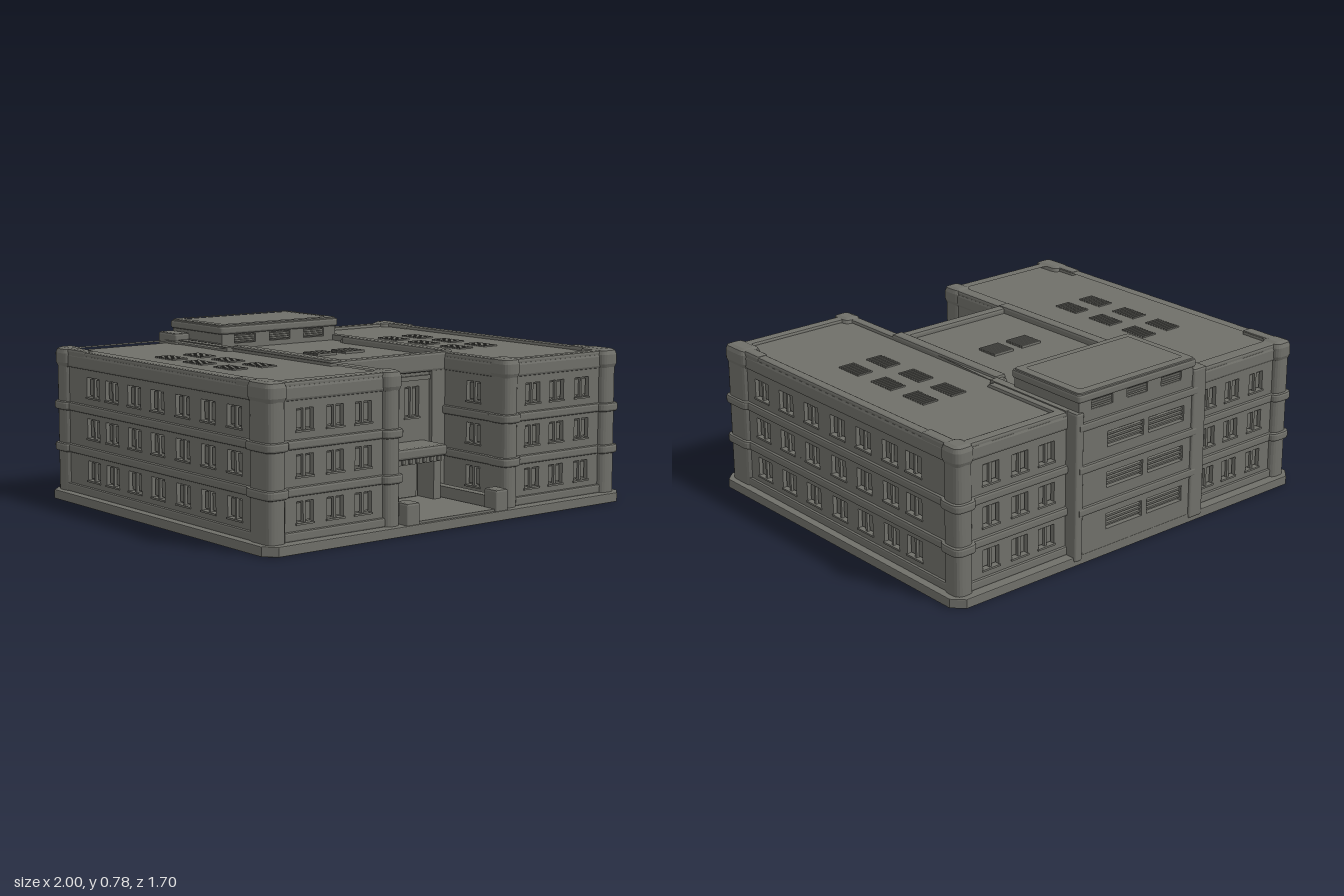
import * as THREE from 'three';

const stone = new THREE.MeshStandardMaterial({ color: 0x6f6f69 });
stone.name = 'grey stone';

const ROWS = [0.155, 0.345, 0.53];

function add(parent, name, geometry) {
  const mesh = new THREE.Mesh(geometry, stone);
  mesh.name = name;
  parent.add(mesh);
  return mesh;
}

// Box given by its limits
function block(parent, name, x0, x1, y0, y1, z0, z1) {
  const m = add(parent, name, new THREE.BoxGeometry(x1 - x0, y1 - y0, z1 - z0));
  m.position.set((x0 + x1) / 2, (y0 + y1) / 2, (z0 + z1) / 2);
  return m;
}

// Closed plan outline with softened corners; each point is [x, z, radius]
function outline(points, Type = THREE.Shape) {
  const path = new Type();
  const n = points.length;
  const toward = (a, b, r) => {
    const d = Math.hypot(b[0] - a[0], b[1] - a[1]);
    return [a[0] + (b[0] - a[0]) * r / d, -(a[1] + (b[1] - a[1]) * r / d)];
  };
  points.forEach((p, i) => {
    const r = p[2] || 0;
    const a = toward(p, points[(i + n - 1) % n], r);
    const b = toward(p, points[(i + 1) % n], r);
    if (i === 0) path.moveTo(...a); else path.lineTo(...a);
    if (r) path.quadraticCurveTo(p[0], -p[1], ...b);
  });
  path.closePath();
  return path;
}

const rect = (x0, x1, z0, z1, r = 0) => [[x0, z0, r], [x1, z0, r], [x1, z1, r], [x0, z1, r]];

// Plan outline raised from y0 to y1, with an optional bevel and opening
function slab(parent, name, points, y0, y1, bevel = 0, hole = null) {
  const shape = outline(points);
  if (hole) shape.holes.push(outline(hole, THREE.Path));
  const g = new THREE.ExtrudeGeometry(shape, {
    depth: y1 - y0 - 2 * bevel, bevelEnabled: bevel > 0, bevelSize: bevel,
    bevelThickness: bevel, bevelOffset: -bevel, bevelSegments: 2, curveSegments: 5,
  });
  g.rotateX(-Math.PI / 2);
  g.translate(0, y0 + bevel, 0);
  return add(parent, name, g);
}

// Wall panel facing local +z, pierced by openings { x, y, w, h, louver }
function wall(parent, name, u0, u1, y0, y1, openings, pos, turn) {
  const group = new THREE.Group();
  group.name = name;
  const depth = 0.025;
  const shape = new THREE.Shape([[u0, y0], [u1, y0], [u1, y1], [u0, y1]].map(p => new THREE.Vector2(...p)));
  for (const { x, y, w, h, louver } of openings) {
    const a = x - w / 2, b = x + w / 2, c = y - h / 2, d = y + h / 2;
    shape.holes.push(new THREE.Path([[a, c], [a, d], [b, d], [b, c]].map(p => new THREE.Vector2(...p))));
    if (louver) {
      for (let i = 1; i < 4; i++) block(group, 'louver', a, b, c + h * i / 4 - 0.004, c + h * i / 4 + 0.004, -depth, -0.008);
    } else {
      block(group, 'mullion', x - 0.006, x + 0.006, c, d, -depth, -0.004);
      block(group, 'sash', a + w * 0.1, x - w * 0.12, c + 0.008, d - 0.008, -depth, -0.012);
      block(group, 'sash', x + w * 0.12, b - w * 0.1, c + 0.008, d - 0.008, -depth, -0.012);
      block(group, 'sill', a - 0.005, b + 0.005, c - 0.008, c, -depth, 0.005);
    }
  }
  const g = new THREE.ExtrudeGeometry(shape, { depth, bevelEnabled: false });
  g.translate(0, 0, -depth);
  add(group, 'panel', g);
  group.position.set(...pos);
  group.rotation.y = turn;
  parent.add(group);
}

function windowGrid(xs, w, h = 0.088) {
  return ROWS.flatMap(y => xs.map(x => ({ x, y, w, h })));
}

// Slatted roof vent
function vent(parent, x, z, w, l) {
  const group = new THREE.Group();
  group.name = 'roofVent';
  const n = 9;
  for (let i = 0; i < n; i++) {
    const c = z - l / 2 + l * (i + 0.5) / n;
    block(group, 'slat', x - w / 2, x + w / 2, 0.66, 0.676, c - 0.004, c + 0.004);
  }
  parent.add(group);
}

function buildWing(s) {
  const wing = new THREE.Group();
  wing.name = s > 0 ? 'leftWing' : 'rightWing';
  // Stepped footprint, grown outward by e
  const plan = (e, r = 0.04) => [
    [0.3 - e, 0.79 + e, r], [0.955 + e, 0.79 + e, r], [0.955 + e, -0.785 - e, r],
    [0.36 - e, -0.785 - e, 0], [0.36 - e, -0.33, 0], [0.3 - e, -0.33, 0],
  ].map(([x, z, q]) => [s * x, z, q]);
  const span = (a, b) => s > 0 ? [a, b] : [-b, -a];

  slab(wing, 'core', plan(-0.025), 0.04, 0.67);
  slab(wing, 'plinth', plan(0.012), 0.04, 0.08, 0.008);
  for (const y of [0.24, 0.43]) slab(wing, 'floorBand', plan(0.013), y - 0.02, y + 0.02, 0.01);
  slab(wing, 'cornice', plan(0.008), 0.605, 0.67, 0.012);
  slab(wing, 'parapet', plan(0.004), 0.64, 0.685, 0.01, plan(-0.045, 0.05));

  // Windowed walls
  const front = windowGrid([0.475, 0.62, 0.775].map(x => s * x), 0.085);
  const back = windowGrid([0.475, 0.62, 0.775].map(x => -s * x), 0.085);
  const side = windowGrid([0.56, 0.375, 0.19, 0, -0.18, -0.36, -0.515].map(z => -s * z), 0.1);
  wall(wing, 'frontWall', ...span(0.31, 0.93), 0.04, 0.62, front, [0, 0, 0.79], 0);
  wall(wing, 'backWall', ...(s > 0 ? [-0.93, -0.36] : [0.36, 0.93]), 0.04, 0.62, back, [0, 0, -0.785], Math.PI);
  wall(wing, 'sideWall', ...(s > 0 ? [-0.76, 0.75] : [-0.75, 0.76]), 0.04, 0.62, side, [s * 0.955, 0, 0], s * Math.PI / 2);
  wall(wing, 'courtWall', ...(s > 0 ? [0.4, 0.76] : [-0.76, -0.4]), 0.04, 0.62,
    windowGrid([s * 0.6], 0.09), [s * 0.3, 0, 0], -s * Math.PI / 2);

  // Rounded corner piers with stepped bands
  const piers = [
    [0.88, 0.972, 0.665, 0.818], [0.88, 0.972, -0.812, -0.71], [0.29, 0.375, 0.71, 0.818],
  ];
  for (const [x0, x1, z0, z1] of piers) {
    const p = e => rect(...span(x0 - e, x1 + e), z0 - e, z1 + e, 0.04);
    slab(wing, 'cornerPier', p(0), 0.04, 0.665);
    slab(wing, 'pierCap', p(0.006), 0.6, 0.692, 0.025);
    for (const y of [0.24, 0.43]) slab(wing, 'pierBand', p(0.012), y - 0.02, y + 0.02, 0.01);
  }
  // Low coping running from each outer corner along the side
  slab(wing, 'frontCoping', rect(...span(0.905, 0.962), 0.57, 0.7, 0.015), 0.64, 0.69, 0.012);
  slab(wing, 'backCoping', rect(...span(0.905, 0.962), -0.74, -0.57, 0.015), 0.64, 0.69, 0.012);

  const vx = s > 0 ? [0.555, 0.705] : [-0.565, -0.715];
  for (const x of vx) for (const z of [-0.25, -0.03, 0.2]) vent(wing, x, z, 0.08, 0.145);
  return wing;
}

function buildCentre() {
  const centre = new THREE.Group();
  centre.name = 'centralBlock';
  block(centre, 'core', -0.33, 0.33, 0.04, 0.665, -0.5, 0.365);
  for (const s of [-1, 1]) {
    const span = (a, b) => s > 0 ? [a, b] : [-b, -a];
    slab(centre, 'roofCurb', rect(...span(0.285, 0.345), -0.31, 0.41, 0.01), 0.62, 0.697, 0.012);
    block(centre, 'pilaster', ...span(0.225, 0.3), 0.04, 0.665, 0.34, 0.41);
    block(centre, 'curbReturn', ...span(0.335, 0.375), 0.64, 0.69, -0.79, -0.31);
    vent(centre, s > 0 ? 0.075 : -0.085, 0, 0.11, 0.11);
  }
  slab(centre, 'frontCurb', rect(-0.31, 0.31, 0.365, 0.415, 0.01), 0.605, 0.69, 0.012);
  const upper = [-0.125, 0, 0.125].map(x => ({ x, y: 0.475, w: 0.08, h: 0.135 }));
  wall(centre, 'entranceWall', -0.23, 0.23, 0.04, 0.62, upper, [0, 0, 0.39], 0);
  block(centre, 'stringCourse', -0.23, 0.23, 0.57, 0.59, 0.38, 0.4);

  // Entrance: canopy, posts and double doors
  slab(centre, 'canopy', rect(-0.2, 0.2, 0.38, 0.545, 0.01), 0.25, 0.3, 0.012);
  block(centre, 'canopyFascia', -0.185, 0.185, 0.225, 0.255, 0.38, 0.525);
  for (let i = 0; i < 9; i++) {
    const x = -0.16 + i * 0.04;
    block(centre, 'dentil', x - 0.008, x + 0.008, 0.23, 0.25, 0.52, 0.535);
  }
  for (const s of [-1, 1]) {
    block(centre, 'canopyPost', s * 0.18 - 0.02, s * 0.18 + 0.02, 0.04, 0.23, 0.39, 0.5);
    block(centre, 'doorFrame', s * 0.08 - 0.072, s * 0.08 + 0.072, 0.05, 0.22, 0.39, 0.4);
    block(centre, 'door', s * 0.08 - 0.058, s * 0.08 + 0.058, 0.055, 0.205, 0.395, 0.408);
  }

  // Forecourt with cheek walls and end posts
  block(centre, 'forecourt', -0.22, 0.22, 0.02, 0.052, 0.38, 0.835);
  for (const s of [-1, 1]) {
    block(centre, 'cheekWall', s * 0.25 - 0.022, s * 0.25 + 0.022, 0.03, 0.1, 0.4, 0.82);
    slab(centre, 'endPost', rect(s * 0.25 - 0.035, s * 0.25 + 0.035, 0.765, 0.845, 0.008), 0.03, 0.135, 0.01);
  }
  return centre;
}

function buildTower() {
  const tower = new THREE.Group();
  tower.name = 'rearTower';
  block(tower, 'core', -0.325, 0.34, 0.02, 0.69, -0.815, -0.45);
  const louvers = ROWS.flatMap(y => [-0.085, 0.155].map(x => ({ x: x + 0.005, y, w: 0.21, h: 0.07, louver: true })));
  wall(tower, 'louverWall', -0.345, 0.33, 0.02, 0.69, louvers, [0, 0, -0.838], Math.PI);
  for (const y of [0.24, 0.43, 0.62]) slab(tower, 'band', rect(-0.335, 0.35, -0.85, -0.6), y - 0.02, y + 0.02, 0.01);
  for (const [name, x0, x1, top] of [['tallPier', -0.39, -0.31, 0.72], ['shortPier', 0.325, 0.37, 0.69]]) {
    slab(tower, name, rect(x0, x1, -0.848, -0.7, 0.012), 0.02, top, 0.01);
  }

  // Roof house with small windows front and back
  block(tower, 'houseCore', -0.295, 0.335, 0.66, 0.75, -0.815, -0.465);
  const panes = d => [-0.2, 0, 0.2].map(x => ({ x: x + d, y: 0.708, w: 0.12, h: 0.04, louver: true }));
  wall(tower, 'houseFront', -0.31, 0.35, 0.66, 0.745, panes(0.02), [0, 0, -0.44], 0);
  wall(tower, 'houseBack', -0.35, 0.31, 0.68, 0.745, panes(-0.02), [0, 0, -0.84], Math.PI);
  block(tower, 'houseSide', 0.33, 0.35, 0.66, 0.745, -0.83, -0.45);
  block(tower, 'houseSide', -0.31, -0.29, 0.66, 0.745, -0.83, -0.45);
  const roof = e => rect(-0.322 + e, 0.362 - e, -0.852 + e, -0.428 - e, 0.02);
  slab(tower, 'houseRoof', roof(0), 0.732, 0.77, 0.01);
  slab(tower, 'houseRoofRim', roof(0.008), 0.75, 0.776, 0.006, roof(0.04));
  return tower;
}

export function createModel() {
  const model = new THREE.Group();
  model.name = 'building';
  // Ground slab with clipped corners
  const c = 0.05;
  slab(model, 'base', [
    [-1, -0.84 + c], [-1 + c, -0.84], [1 - c, -0.84], [1, -0.84 + c],
    [1, 0.85 - c], [1 - c, 0.85], [-1 + c, 0.85], [-1, 0.85 - c],
  ], 0, 0.042, 0.004);
  model.add(buildWing(1), buildWing(-1), buildCentre(), buildTower());
  return model;
}
